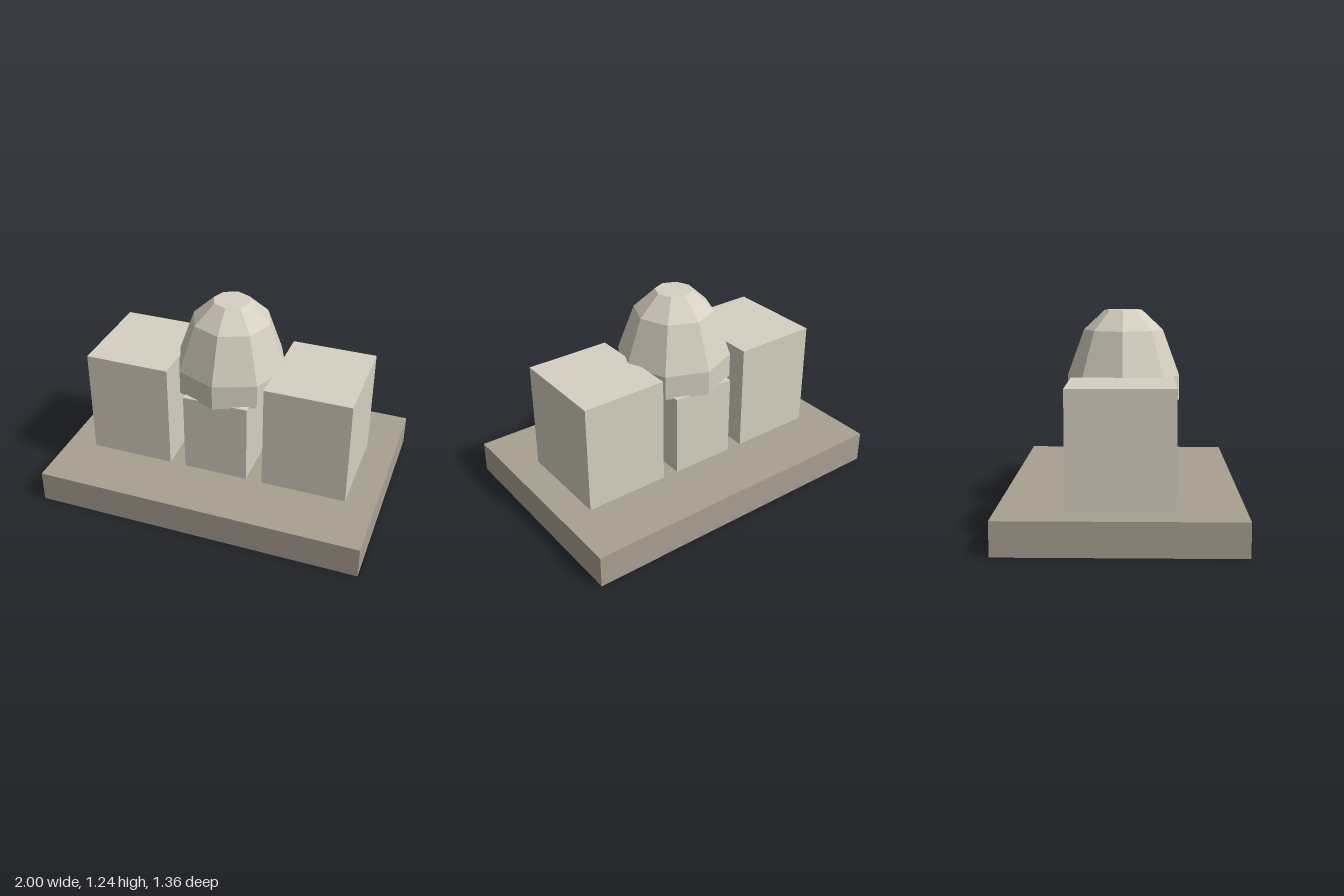
import * as THREE from 'three';

export function createModel() {
  const model = new THREE.Group();
  const paleStone = new THREE.MeshStandardMaterial({ color: 0xd6d0c2, flatShading: true });
  paleStone.name = 'paleStone';
  const darkStone = new THREE.MeshStandardMaterial({ color: 0xaaa093, flatShading: true });
  darkStone.name = 'darkStone';

  // Box standing on y = bottom
  function block(name, width, height, depth, x, bottom, material) {
    const mesh = new THREE.Mesh(new THREE.BoxGeometry(width, height, depth), material);
    mesh.name = name;
    mesh.position.set(x, bottom + height / 2, 0);
    model.add(mesh);
  }

  // Plinth
  block('base', 2, 0.195, 1.36, 0, 0, darkStone);

  // Two tall side blocks and the lower central pier
  block('leftBlock', 0.52, 0.665, 0.6, 0.56, 0.195, paleStone);
  block('rightBlock', 0.52, 0.665, 0.6, -0.56, 0.195, paleStone);
  block('centralPier', 0.4, 0.505, 0.6, 0, 0.195, paleStone);

  // Eight-sided dome with a straight skirt and flat cap
  const profile = [[0, 0.69], [0.342, 0.69], [0.342, 0.84], [0.24, 1.12], [0.112, 1.24], [0, 1.24]]
    .map(([r, y]) => new THREE.Vector2(r, y));
  const dome = new THREE.Mesh(new THREE.LatheGeometry(profile, 8), paleStone);
  dome.name = 'dome';
  model.add(dome);

  return model;
}
